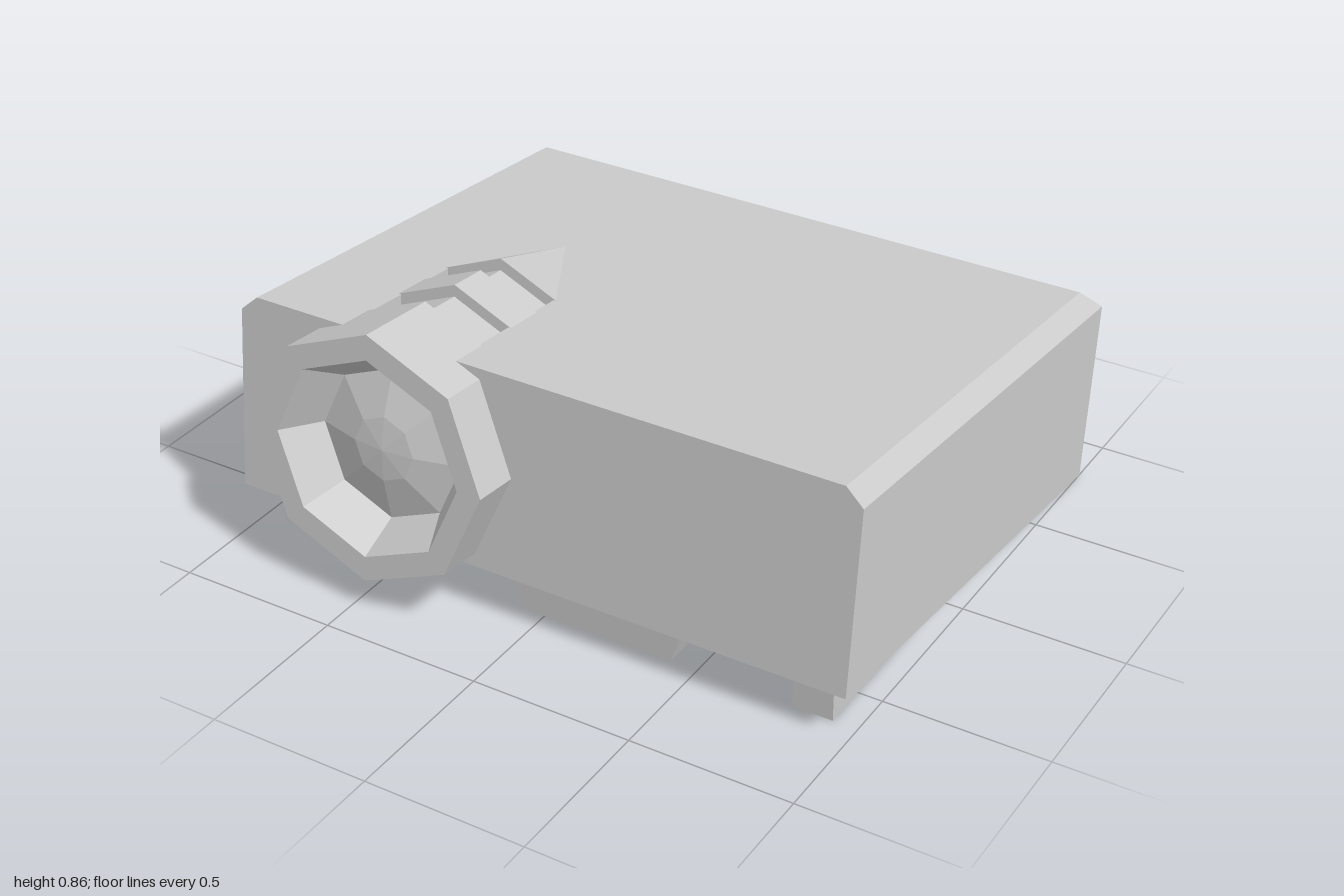
import * as THREE from 'three';

const material = new THREE.MeshStandardMaterial({ color: 0xcccccc, flatShading: true });
const LENS_X = -0.45, LENS_Y = 0.314, R = 0.384; // octagonal barrel axis and radius
const HALF_GROOVE = 0.185;
const GROOVES = [[-0.267, -0.125], [-0.5, -0.397]]; // back and front of each groove
const TOP = 0.618, LENGTH = 1.553, CHAMFER_Z = 1.5;

function addMesh(parent, name, geometry) {
  const mesh = new THREE.Mesh(geometry, material);
  mesh.name = name;
  parent.add(mesh);
  return mesh;
}

const toShape = (pts) => new THREE.Shape(pts.map(([x, y]) => new THREE.Vector2(x, y)));

const extrude = (pts, depth) =>
  new THREE.ExtrudeGeometry(toShape(pts), { depth, bevelEnabled: false });

// Casing walls, floor and chamfers, lofted through three sections
function casingGeometry() {
  const outline = [[-1, 0], [1, 0], [1, 0.568], [0.945, TOP], [-0.945, TOP], [-1, 0.568]];
  const backOutline = [[-1, 0], [1, 0], [1, 0.568], [1, 0.568], [-1, 0.568], [-1, 0.568]];
  const rings = [[outline, 0], [outline, -CHAMFER_Z], [backOutline, -LENGTH]]
    .map(([pts, z]) => pts.map(([x, y]) => [x, y, z]));
  const positions = [];
  const tri = (...corners) => corners.forEach((c) => positions.push(...c));
  for (let s = 0; s < 2; s++) {
    for (let i = 0; i < 6; i++) {
      if (s === 0 && i === 3) continue; // the top panel closes this side
      const j = (i + 1) % 6, a = rings[s], b = rings[s + 1];
      tri(a[i], b[i], a[j]);
      tri(a[j], b[i], b[j]);
    }
  }
  for (let i = 1; i < 5; i++) tri(rings[0][0], rings[0][i], rings[0][i + 1]);
  tri(rings[2][0], rings[2][2], rings[2][1]);
  tri(rings[2][0], rings[2][4], rings[2][2]);
  const geometry = new THREE.BufferGeometry();
  geometry.setAttribute('position', new THREE.Float32BufferAttribute(positions, 3));
  geometry.computeVertexNormals();
  return geometry;
}

// Top panel, open where the grooves sink into it
function topPanelGeometry() {
  const shape = toShape([[-0.945, 0], [0.945, 0], [0.945, CHAMFER_Z], [-0.945, CHAMFER_Z]]);
  const x0 = LENS_X - HALF_GROOVE, x1 = LENS_X + HALF_GROOVE;
  for (const [back, front] of GROOVES) {
    shape.holes.push(toShape([[x0, -front], [x0, -back], [x1, -back], [x1, -front]]));
  }
  return new THREE.ShapeGeometry(shape).rotateX(-Math.PI / 2).translate(0, TOP, 0);
}

// Eight-sided solid around the lens axis; points are [radius, z]
function octagonGeometry(pts) {
  return new THREE.LatheGeometry(pts.map(([r, z]) => new THREE.Vector2(r, z)), 8)
    .rotateX(Math.PI / 2).translate(LENS_X, LENS_Y, 0);
}

export function createModel() {
  const model = new THREE.Group();
  model.name = 'projector';

  // Everything but the feet is tilted nose-up
  const housing = new THREE.Group();
  housing.name = 'housing';
  housing.position.set(0, 0.155, 0.725);
  housing.rotation.x = -0.1;
  model.add(housing);

  addMesh(housing, 'casing', casingGeometry());
  addMesh(housing, 'topPanel', topPanelGeometry());

  // Lens barrel: hood with recessed faceted glass, middle ring, tapering tail
  addMesh(housing, 'lensHood', octagonGeometry(
    [[0, -0.125], [R, -0.125], [R, 0.15], [0.307, 0.15], [0.235, 0.025]]));
  addMesh(housing, 'lens', octagonGeometry([[0.235, 0.025], [0.1, 0.065], [0, 0.075]]));
  addMesh(housing, 'barrelRing', octagonGeometry(
    [[0, -0.397], [R, -0.397], [R, -0.267], [0, -0.267]]));
  addMesh(housing, 'barrelTail', octagonGeometry(
    [[0, -0.9], [0.292, -0.9], [R, -0.5], [0, -0.5]]));

  // Groove beds between the rings, with the barrel's underside below
  const d = R * Math.SQRT1_2;
  const bed = [
    [0, 0.662], [-HALF_GROOVE, 0.585], [-HALF_GROOVE, 0.617], [-0.21, 0.617],
    [-d, LENS_Y - d], [0, LENS_Y - R], [d, LENS_Y - d],
    [0.21, 0.617], [HALF_GROOVE, 0.617], [HALF_GROOVE, 0.585],
  ];
  for (const [back, front] of GROOVES) {
    addMesh(housing, 'barrelGroove', extrude(bed, front - back))
      .position.set(LENS_X, 0, back);
  }

  // Long side feet, level with the ground
  for (const side of [-1, 1]) {
    addMesh(model, side > 0 ? 'leftFoot' : 'rightFoot', new THREE.BoxGeometry(0.125, 0.15, 1.255))
      .position.set(side * 0.8625, 0.075, 0.0175);
  }

  // Front centre foot
  addMesh(model, 'frontFoot', extrude(
    [[-0.07, 0], [0.415, 0], [0.47, 0.15], [-0.125, 0.15]], 0.09)).position.z = 0.555;

  return model;
}
